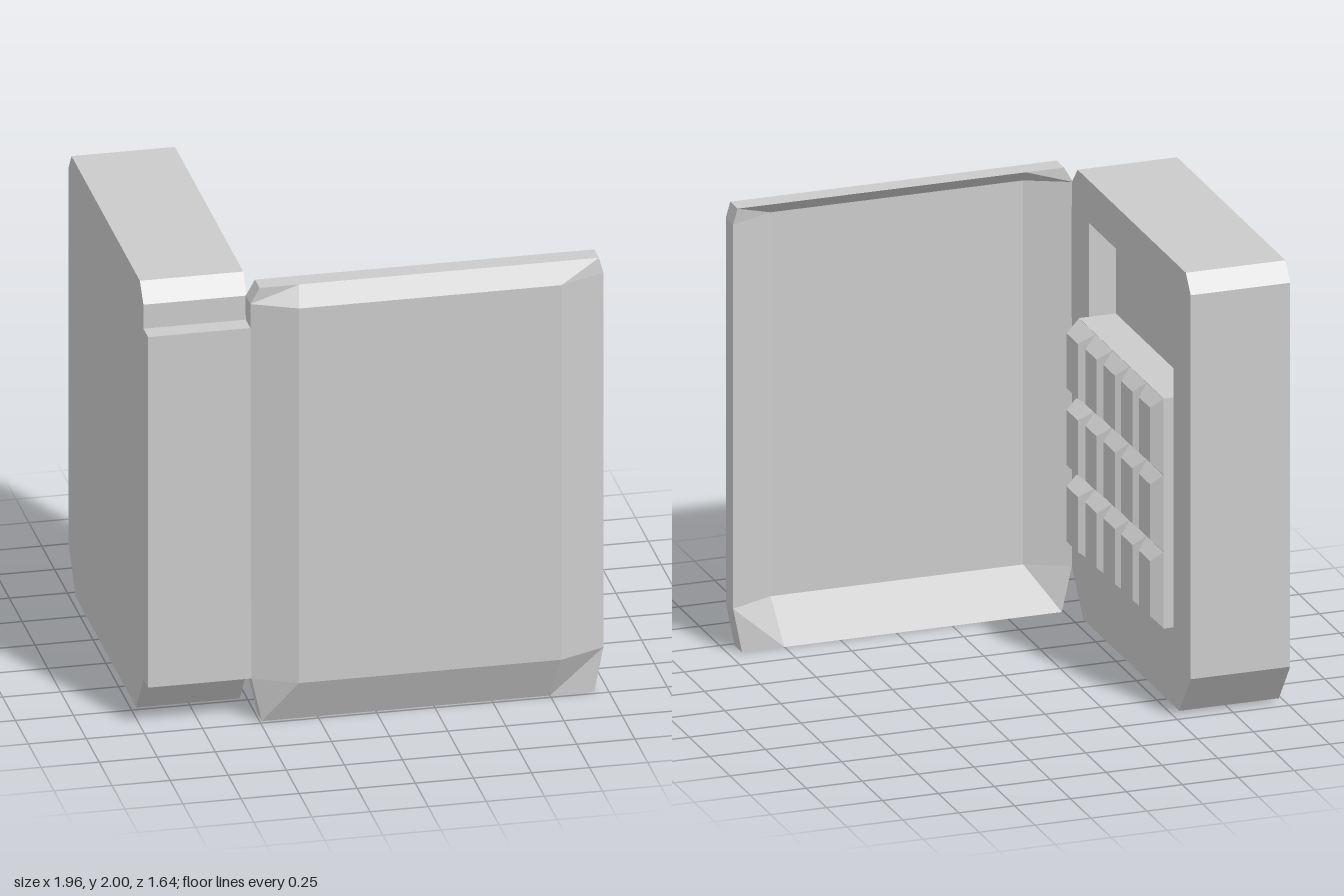
import * as THREE from 'three';

const mat = new THREE.MeshStandardMaterial({ color: 0xcccccc, flatShading: true });

function add(parent, geometry, name) {
  const mesh = new THREE.Mesh(geometry, mat);
  mesh.name = name;
  parent.add(mesh);
  return mesh;
}

// Box given by its limits on each axis
function block(x0, x1, y0, y1, z0, z1) {
  return new THREE.BoxGeometry(x1 - x0, y1 - y0, z1 - z0)
    .translate((x0 + x1) / 2, (y0 + y1) / 2, (z0 + z1) / 2);
}

// Extrudes a profile of [z, y] points along x, from x0 to x1
function extrudeX(points, x0, x1, hole) {
  const flat = (pts) => pts.map(([z, y]) => new THREE.Vector2(-z, y));
  const shape = new THREE.Shape(flat(points));
  if (hole) shape.holes.push(new THREE.Path(flat(hole)));
  return new THREE.ExtrudeGeometry(shape, { depth: x1 - x0, bevelEnabled: false })
    .rotateY(Math.PI / 2).translate(x0, 0, 0);
}

// Key: a box whose +x face is drawn in to a smaller rectangle
function keyGeometry(x0, x1, y0, y1, z0, z1) {
  const g = block(x0, x1, y0, y1, z0, z1);
  const p = g.attributes.position;
  const cy = (y0 + y1) / 2, cz = (z0 + z1) / 2;
  for (let i = 0; i < p.count; i++) {
    if (p.getX(i) < (x0 + x1) / 2) continue;
    p.setY(i, p.getY(i) + (p.getY(i) > cy ? -0.047 : 0.05));
    p.setZ(i, p.getZ(i) + (p.getZ(i) > cz ? -0.035 : 0.035));
  }
  g.computeVertexNormals();
  return g;
}

// Door: a dished shell with sloping borders, from four rows of four points
function doorGeometry() {
  const rows = [
    { y: 0, xs: [-0.49, -0.32, 0.75, 0.94], bulge: 0 },
    { y: 0.2, xs: [-0.535, -0.35, 0.78, 0.98], bulge: 0.09 },
    { y: 1.92, xs: [-0.54, -0.35, 0.78, 0.98], bulge: 0.09 },
    { y: 1.99, xs: [-0.5, -0.33, 0.76, 0.96], bulge: 0 },
  ];
  const pos = [], idx = [];
  for (const rim of [0.73, 0.64]) {
    for (const r of rows) {
      r.xs.forEach((x, i) => pos.push(x, r.y, rim + (i === 1 || i === 2 ? r.bulge : 0)));
    }
  }
  const quad = (a, b, c, d) => idx.push(a, b, c, a, c, d);
  for (let j = 0; j < 3; j++) {
    for (let i = 0; i < 3; i++) {
      const a = j * 4 + i;
      quad(a, a + 1, a + 5, a + 4);
      quad(a + 16, a + 20, a + 21, a + 17);
    }
  }
  const edge = [0, 1, 2, 3, 7, 11, 15, 14, 13, 12, 8, 4];
  edge.forEach((p, k) => {
    const q = edge[(k + 1) % edge.length];
    quad(p + 16, q + 16, q, p);
  });
  let g = new THREE.BufferGeometry();
  g.setAttribute('position', new THREE.Float32BufferAttribute(pos, 3));
  g.setIndex(idx);
  g = g.toNonIndexed();
  g.computeVertexNormals();
  return g;
}

export function createModel() {
  const model = new THREE.Group();
  model.name = 'keypadBox';

  // Housing with chamfered corners and a recess in its inner face
  const outline = [
    [0.64, 0.2], [0.5, 0.01], [-0.68, 0.01], [-0.82, 0.2],
    [-0.82, 1.92], [-0.76, 2], [0.57, 2], [0.64, 1.92],
  ];
  const recess = [[0.43, 0.36], [0.43, 1.81], [-0.61, 1.81], [-0.61, 0.36]];
  const face = -0.535, floor = -0.655;
  const housing = new THREE.Group();
  housing.name = 'housing';
  model.add(housing);
  add(housing, extrudeX(outline, -0.98, floor), 'housingBack');
  add(housing, extrudeX(outline, floor, face, recess), 'housingFrame');

  // Sloping top of the recess
  const wedge = new THREE.Shape([
    new THREE.Vector2(floor, 1.73), new THREE.Vector2(face, 1.81), new THREE.Vector2(floor, 1.81),
  ]);
  add(housing, new THREE.ExtrudeGeometry(wedge, { depth: 1.04, bevelEnabled: false })
    .translate(0, 0, -0.61), 'recessSlope');

  // Keypad: base block and rows of bevelled keys
  const keypad = new THREE.Group();
  keypad.name = 'keypad';
  model.add(keypad);
  add(keypad, block(floor, -0.49, 0.36, 1.39, -0.61, 0.43), 'keypadBase');
  const w = 1.04 / 5, h = 1.03 / 3;
  const tops = [-0.442, -0.439, -0.436, -0.43, -0.422];
  for (let row = 0; row < 3; row++) {
    for (let col = 0; col < 5; col++) {
      const y = 0.36 + row * h, z = -0.61 + col * w;
      add(keypad, keyGeometry(-0.492, tops[col], y, y + h, z, z + w), 'key');
    }
  }

  // Hinge plate and open door
  add(model, block(-0.98, face, 0.2, 1.81, 0.635, 0.73), 'hingePlate');
  add(model, doorGeometry(), 'door');

  return model;
}
